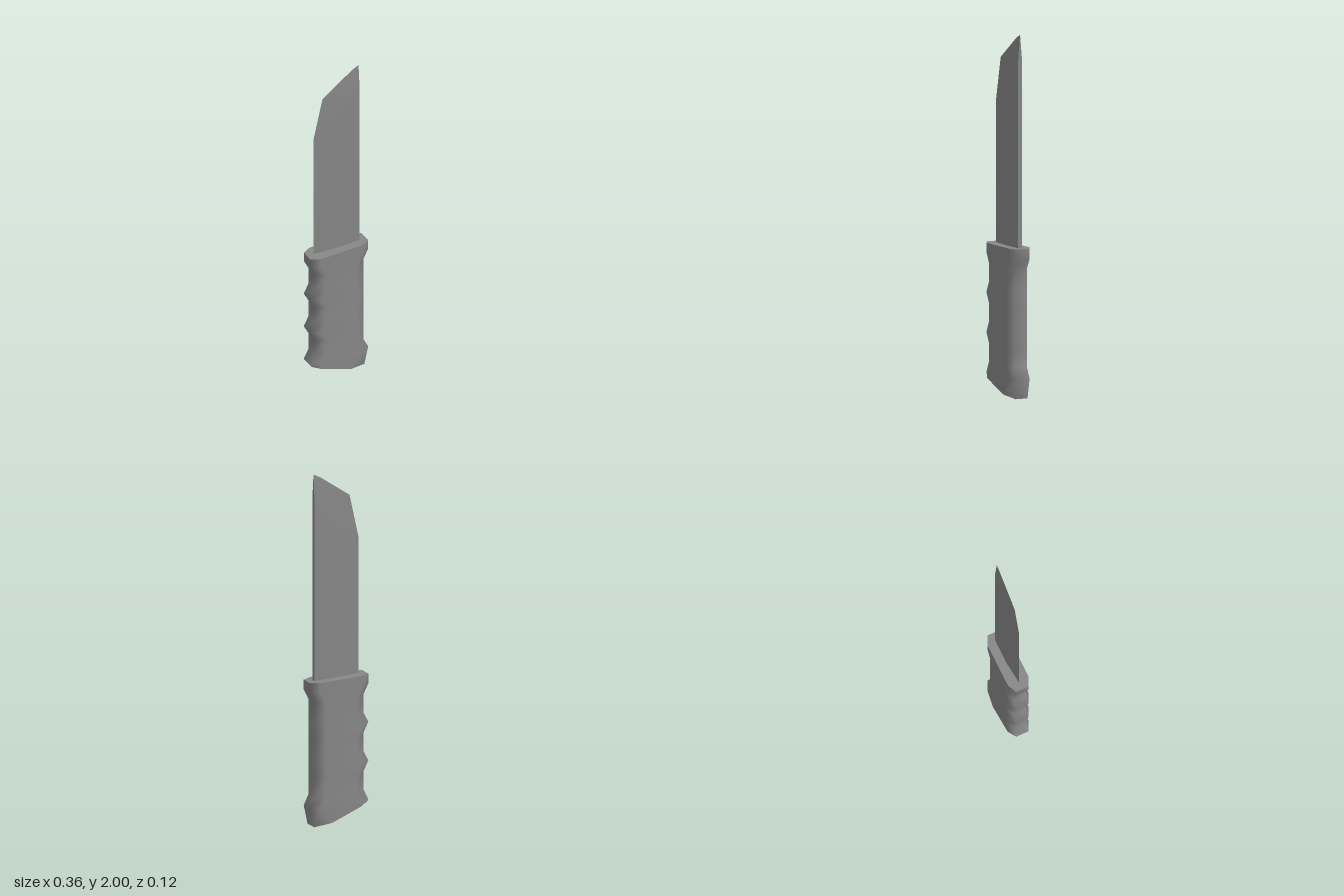
import * as THREE from 'three';
import { toCreasedNormals } from 'three/addons/utils/BufferGeometryUtils.js';

// Skin between rings of [x, y, z] points, listed from bottom to top
function loft(rings) {
  const n = rings[0].length;
  const index = [];
  for (let k = 0; k < rings.length - 1; k++) {
    for (let i = 0; i < n; i++) {
      const a = k * n + i, b = k * n + (i + 1) % n;
      index.push(a, b, b + n, a, b + n, a + n);
    }
  }
  return indexed(rings.flat(), index);
}

// Fan that closes a ring, facing up or down
function cap(ring, up) {
  const index = [];
  for (let i = 1; i < ring.length - 1; i++) index.push(0, ...(up ? [i, i + 1] : [i + 1, i]));
  return indexed(ring, index);
}

function indexed(points, index) {
  const geometry = new THREE.BufferGeometry();
  geometry.setAttribute('position', new THREE.Float32BufferAttribute(points.flat(), 3));
  geometry.setIndex(index);
  geometry.computeVertexNormals();
  return geometry;
}

// Eight-sided grip section; each corner column is [x, y]
function gripRing(left, leftInner, rightInner, right) {
  const w = 0.062, e = 0.037;
  return [[rightInner, w], [right, e], [right, -e], [rightInner, -w],
    [leftInner, -w], [left, -e], [left, e], [leftInner, w]].map(([p, z]) => [p[0], p[1], z]);
}

// Five-sided blade section: edge, ridge and spine, each [x, y]
function bladeRing(edge, ridge, spine, halfThickness = 0.012) {
  const t = halfThickness;
  return [[ridge, t], [spine, t], [spine, -t], [ridge, -t], [edge, 0]]
    .map(([p, z]) => [p[0], p[1], z]);
}

export function createModel() {
  const model = new THREE.Group();
  model.name = 'knife';
  const smooth = new THREE.MeshStandardMaterial({ color: 0x878787 });
  const flat = new THREE.MeshStandardMaterial({ color: 0x878787, flatShading: true });
  const add = (name, geometry, material, parent) => {
    const mesh = new THREE.Mesh(geometry, material);
    mesh.name = name;
    parent.add(mesh);
  };

  // Handle: height, finger side, back side
  const levels = [
    [0.11, -0.181, 0.181], [0.17, -0.15, 0.15], [0.27, -0.15, 0.15],
    [0.33, -0.181, 0.15], [0.39, -0.15, 0.15], [0.49, -0.15, 0.15],
    [0.55, -0.181, 0.15], [0.61, -0.15, 0.15], [0.71, -0.15, 0.15],
    [0.77, -0.181, 0.181], [0.826, -0.181, 0.181],
  ];
  const rings = levels.map(([y, l, r]) => gripRing([l, y], [l + 0.05, y], [r - 0.05, y], [r, y]));
  rings.unshift(gripRing([-0.175, 0.1], [-0.125, 0.083], [0.06, 0.016], [0.157, 0]));
  const handle = new THREE.Group();
  handle.name = 'handle';
  model.add(handle);
  add('grip', loft(rings), smooth, handle);
  add('guardTop', cap(rings[rings.length - 1], true), flat, handle);
  add('pommelBase', cap(rings[0], false), flat, handle);

  // Blade: parallel body, then the angled point, with soft bevels and sharp spine and edge
  const tip = [0.141, 2];
  const blade = loft([
    bladeRing([-0.141, 0.82], [-0.01, 0.82], [0.141, 0.82]),
    bladeRing([-0.141, 1.6], [-0.01, 1.58], [0.141, 1.58]),
    bladeRing([-0.085, 1.85], [0.03, 1.76], [0.141, 1.76]),
    bladeRing([0.1, 1.98], [0.12, 1.85], [0.141, 1.86]),
    bladeRing(tip, tip, tip, 0),
  ]);
  add('blade', toCreasedNormals(blade, 0.5), smooth, model);
  return model;
}
